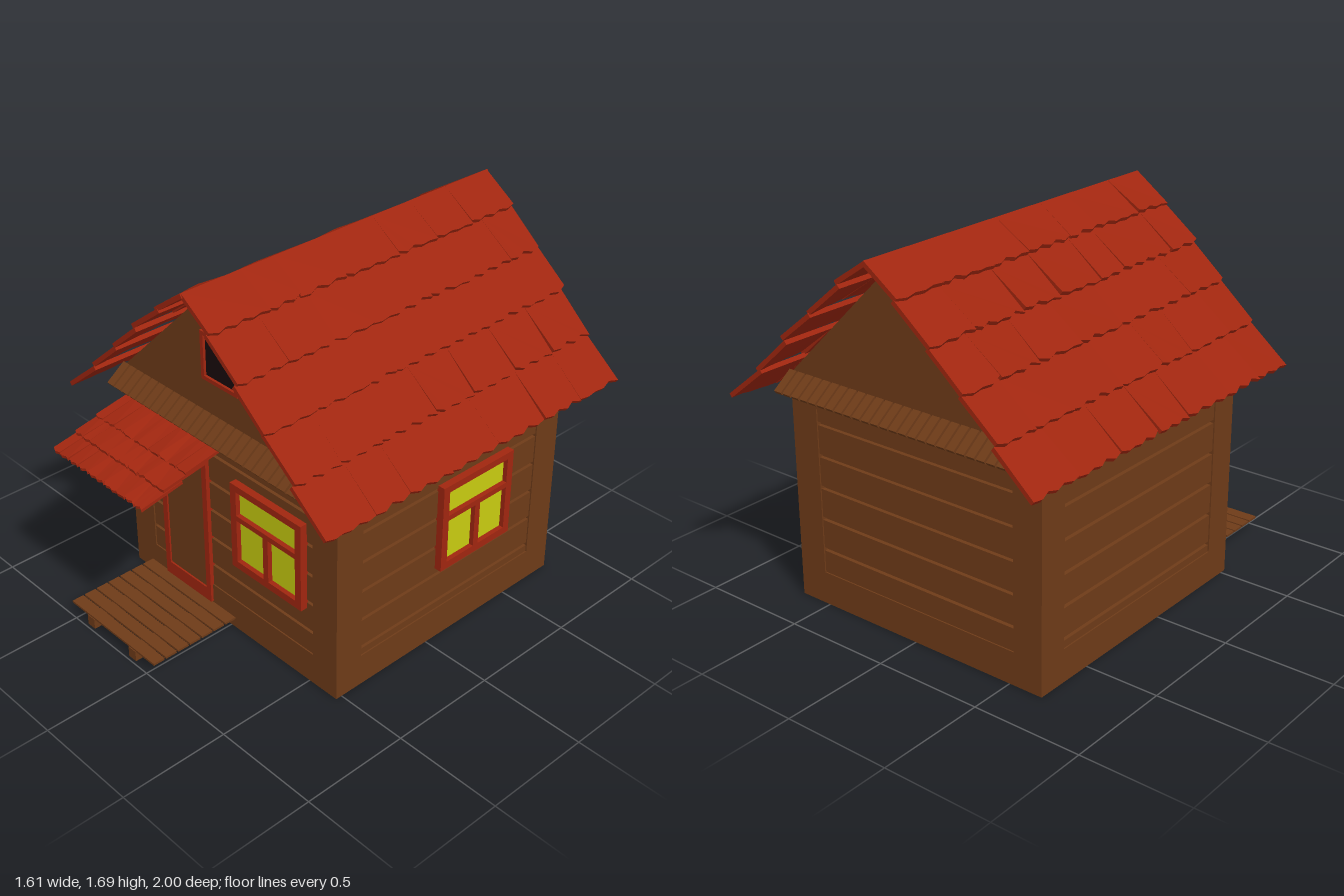
import * as THREE from 'three';
import { mergeGeometries } from 'three/addons/utils/BufferGeometryUtils.js';

const paint = (color) => new THREE.MeshStandardMaterial({ color, flatShading: true });
const wood = paint(0x6e3b18), red = paint(0xa0260f), glass = paint(0xc8cc10), dark = paint(0x180a0c);

// Seeded random numbers
let seed = 7;
const rnd = () => (seed = (seed * 16807) % 2147483647) / 2147483647;

function add(parent, name, geo, mat, x = 0, y = 0, z = 0) {
  const m = new THREE.Mesh(geo, mat);
  m.name = name;
  m.position.set(x, y, z);
  parent.add(m);
  return m;
}

// Box given by its limits
const block = (parent, name, mat, x0, x1, y0, y1, z0, z1) =>
  add(parent, name, new THREE.BoxGeometry(x1 - x0, y1 - y0, z1 - z0), mat, (x0 + x1) / 2, (y0 + y1) / 2, (z0 + z1) / 2);

function group(parent, name, x = 0, y = 0, z = 0, turn = 0) {
  const g = new THREE.Group();
  g.name = name;
  g.position.set(x, y, z);
  g.rotation.y = turn;
  parent.add(g);
  return g;
}

// Flat plate with rectangular holes; rectangles are [x0, x1, y0, y1]
function plate(outer, holes, depth) {
  const pts = ([a, b, c, d]) => [[a, c], [b, c], [b, d], [a, d]].map((p) => new THREE.Vector2(...p));
  const s = new THREE.Shape(pts(outer));
  holes.forEach((h) => s.holes.push(new THREE.Path(pts(h).reverse())));
  return new THREE.ExtrudeGeometry(s, { depth, bevelEnabled: false });
}

// Wall side: raised border around horizontal planks
function wallSide(parent, name, x, z, turn, firstGroove) {
  const g = group(parent, name, x, 0, z, turn);
  add(g, 'wallBorder', plate([-0.66, 0.66, 0, 1.0], [[-0.52, 0.52, 0.15, 0.905]], 0.025), wood, 0, 0, -0.025);
  let y = 0.15;
  for (let i = 0; i <= 5; i++) {
    const top = i < 5 ? firstGroove + i * 0.145 - 0.008 : 0.905;
    block(g, 'plank', wood, -0.52, 0.52, y, top, -0.025, -0.006);
    y = top + 0.016;
  }
}

// Window with one wide upper pane and two lower panes
function houseWindow(parent, x, y, z, turn) {
  const g = group(parent, 'window', x, y, z, turn);
  const holes = [[-0.178, 0.178, 0.06, 0.178], [-0.178, -0.015, -0.175, 0.035], [0.015, 0.178, -0.175, 0.035]];
  add(g, 'windowFrame', plate([-0.213, 0.213, -0.21, 0.21], holes, 0.04), red, 0, 0, -0.012);
  block(g, 'windowGlass', glass, -0.19, 0.19, -0.19, 0.19, -0.012, 0.006);
}

// One warped shingle with a ragged lower edge
function shingle(w, len, tooth, rag, t, lift) {
  const s = new THREE.Shape();
  s.moveTo(0, 0);
  const n = Math.max(2, Math.round(w / tooth));
  for (let i = 0; i <= n; i++) {
    s.lineTo((w * i) / n, -len + rag * (i % 2 ? 0.1 : 0.5) * (0.5 + rnd()));
  }
  s.lineTo(w, 0);
  const geo = new THREE.ExtrudeGeometry(s, { depth: t, bevelEnabled: false });
  const p = geo.attributes.position, k = (rnd() - 0.5) * 2 * lift;
  for (let i = 0; i < p.count; i++) {
    p.setZ(i, p.getZ(i) - t + k * (p.getX(i) / w - 0.5) * (-p.getY(i) / len));
  }
  geo.computeVertexNormals();
  return geo;
}

// Row of shingles facing +z, between top [z, y] and bottom [z, y]
function shingleRow(parent, [z0, y0], [z1, y1], width, n, tooth, rag, t, lift) {
  const len = Math.hypot(z1 - z0, y1 - y0), cell = width / n;
  const cuts = [-width / 2];
  for (let i = 1; i < n; i++) cuts.push(-width / 2 + cell * (i + (rnd() - 0.5) * 0.5));
  cuts.push(width / 2);
  const parts = [];
  for (let i = 0; i < n; i++) {
    parts.push(shingle(cuts[i + 1] - cuts[i], len, tooth, rag, t, lift).translate(cuts[i], 0, 0));
  }
  const row = add(parent, 'shingleRow', mergeGeometries(parts), red, 0, y0, z0);
  row.rotation.x = -Math.atan2(z1 - z0, y0 - y1);
}

export function createModel() {
  const house = new THREE.Group();
  house.name = 'house';

  // Walls, with a hollow underside
  block(house, 'wallCore', wood, -0.636, 0.636, 0.06, 1.0, -0.766, 0.506);
  const base = add(house, 'foundation', plate([-0.65, 0.65, -0.52, 0.78], [[-0.52, 0.52, -0.39, 0.65]], 0.06), wood);
  base.rotation.x = -Math.PI / 2;
  wallSide(house, 'frontWall', 0, 0.53, 0, 0.26);
  wallSide(house, 'backWall', 0, -0.79, Math.PI, 0.26);
  wallSide(house, 'leftWall', 0.66, -0.13, Math.PI / 2, 0.19);
  wallSide(house, 'rightWall', -0.66, -0.13, -Math.PI / 2, 0.19);

  // Attic with gables
  const gable = new THREE.Shape([[-0.66, 0.99], [0.66, 0.99], [0.645, 1.045], [0, 1.675], [-0.645, 1.045]]
    .map((p) => new THREE.Vector2(...p)));
  add(house, 'attic', new THREE.ExtrudeGeometry(gable, { depth: 1.32, bevelEnabled: false }), wood, 0, 0, -0.79);

  // Sloping board ledges below both gables
  for (const [z, turn] of [[0.53, 0], [-0.79, Math.PI]]) {
    const ledge = group(house, 'gableLedge', 0, 1.045, z, turn);
    const tilt = group(ledge, 'ledgeBoards');
    tilt.rotation.x = 0.64;
    block(tilt, 'ledgeBacking', wood, -0.665, 0.665, -0.016, -0.008, 0, 0.105);
    const n = 27, step = 1.33 / n;
    for (let i = 0; i < n; i++) {
      const x = -0.665 + i * step;
      block(tilt, 'ledgeBoard', wood, x + 0.005, x + step - 0.005, -0.01, 0.006, 0, 0.115);
    }
  }

  // Main roof: five overlapping rows on each slope
  const steps = [[0.175, 1.575], [0.335, 1.428], [0.485, 1.282], [0.64, 1.125], [0.805, 0.962]];
  for (const side of [1, -1]) {
    const slope = group(house, 'roofSlope', 0, 0, -0.14, (side * Math.PI) / 2);
    let top = [0, 1.69];
    for (const bottom of steps) {
      shingleRow(slope, top, bottom, 1.71 + rnd() * 0.02, 7, 0.045, 0.03, 0.02, 0.022);
      top = [bottom[0] - 0.03, bottom[1] - 0.004];
    }
  }

  // Windows
  houseWindow(house, 0.267, 0.58, 0.53, 0);
  houseWindow(house, 0.66, 0.58, -0.257, Math.PI / 2);
  add(house, 'atticWindowFrame', plate([-0.115, 0.105, 1.205, 1.425], [[-0.097, 0.087, 1.223, 1.407]], 0.02), red, 0, 0, 0.525);
  block(house, 'atticOpening', dark, -0.1, 0.09, 1.22, 1.41, 0.52, 0.533);

  // Door
  add(house, 'doorFrame', plate([-0.43, -0.12, 0.06, 0.815], [[-0.4, -0.15, 0.125, 0.755]], 0.03), red, 0, 0, 0.513);
  block(house, 'door', wood, -0.41, -0.14, 0.11, 0.77, 0.51, 0.535);

  // Porch deck and canopy
  const porch = group(house, 'porch', -0.255);
  for (const x of [-0.152, 0.14]) {
    block(porch, 'deckBeam', wood, x - 0.024, x + 0.024, 0, 0.05, 0.5, 0.985);
    const rafter = add(porch, 'canopyRafter', new THREE.BoxGeometry(0.05, 0.035, 0.41), wood, x * 0.93, 0.888, 0.715);
    rafter.rotation.x = 0.306;
  }
  for (let i = 0; i < 7; i++) {
    const z = 0.53 + i * 0.065;
    block(porch, 'deckPlank', wood, -0.292, 0.285, 0.048, 0.058, z + 0.004, z + 0.061);
  }
  const canopyRows = [[[0.53, 0.975], [0.775, 0.928]], [[0.67, 0.937], [0.89, 0.9]], [[0.79, 0.9], [1.0, 0.862]]];
  for (const [top, bottom] of canopyRows) shingleRow(porch, top, bottom, 0.6, 10, 0.02, 0.018, 0.014, 0.012);

  return house;
}
